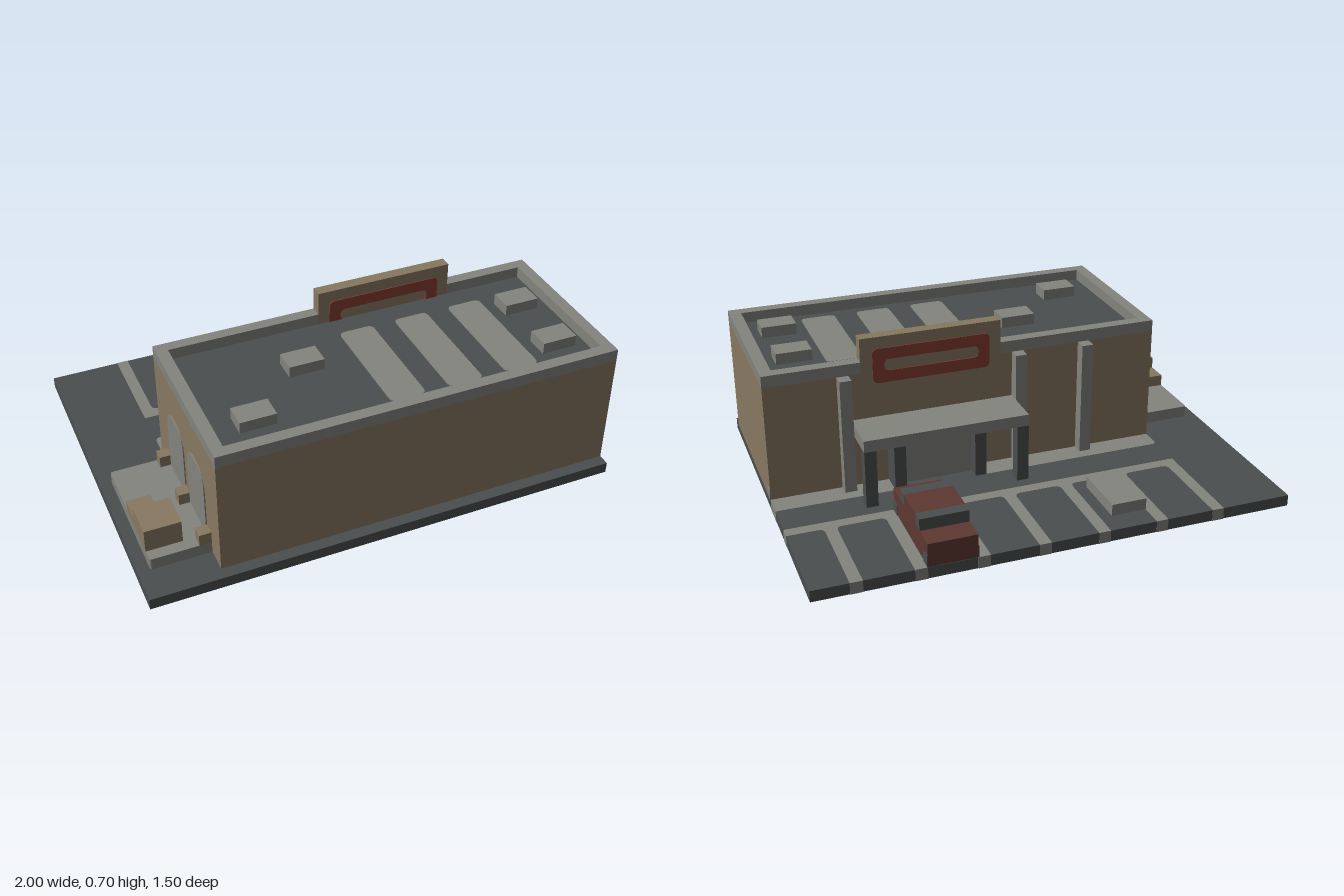
import * as THREE from 'three';

const mat = (name, color) => {
  const m = new THREE.MeshStandardMaterial({ color });
  m.name = name;
  return m;
};

// Rounded rectangle; radii listed for corners (x0,y0), (x1,y0), (x1,y1), (x0,y1)
function roundRect(path, x0, x1, y0, y1, [a, b, c, d]) {
  path.moveTo(x0 + a, y0);
  path.lineTo(x1 - b, y0);
  path.quadraticCurveTo(x1, y0, x1, y0 + b);
  path.lineTo(x1, y1 - c);
  path.quadraticCurveTo(x1, y1, x1 - c, y1);
  path.lineTo(x0 + d, y1);
  path.quadraticCurveTo(x0, y1, x0, y1 - d);
  path.lineTo(x0, y0 + a);
  path.quadraticCurveTo(x0, y0, x0 + a, y0);
  return path;
}

export function createModel() {
  const tan = mat('tan wall', 0x877860);
  const grey = mat('light concrete', 0x82847d);
  const dark = mat('dark asphalt', 0x4a4e4f);
  const signRed = mat('sign red', 0x853d33);
  const carRed = mat('car red', 0x5e3831);
  const model = new THREE.Group();
  model.name = 'store';

  const group = (name) => {
    const g = new THREE.Group();
    g.name = name;
    model.add(g);
    return g;
  };
  const add = (parent, name, geometry, material) => {
    const m = new THREE.Mesh(geometry, material);
    m.name = name;
    parent.add(m);
    return m;
  };
  const box = (parent, name, material, x0, x1, y0, y1, z0, z1) => {
    const m = add(parent, name, new THREE.BoxGeometry(x1 - x0, y1 - y0, z1 - z0), material);
    m.position.set((x0 + x1) / 2, (y0 + y1) / 2, (z0 + z1) / 2);
    return m;
  };
  const extrude = (shape, depth) =>
    new THREE.ExtrudeGeometry(shape, { depth, bevelEnabled: false, curveSegments: 5 });
  // Flat slab drawn in x and z, with its top at the given height
  const slab = (parent, name, material, shape, top, depth) => {
    const m = add(parent, name, extrude(shape, depth).rotateX(Math.PI / 2), material);
    m.position.y = top;
    return m;
  };
  // Thin plate drawn in z and y, growing towards -x from the given x
  const sidePlate = (parent, name, material, shape, x, depth) => {
    const m = add(parent, name, extrude(shape, depth).rotateY(-Math.PI / 2), material);
    m.position.x = x;
    return m;
  };

  // Ground with inlaid paving
  const ground = group('ground');
  box(ground, 'asphalt', dark, -1, 1, 0.001, 0.049, -0.75, 0.75);
  const r = 0.025;
  slab(ground, 'sidewalkRight', grey,
    roundRect(new THREE.Shape(), -0.7, 0.15, -0.15, -0.05, [r, r, r, 0]), 0.05, 0.05);
  slab(ground, 'sidewalkLeft', grey,
    roundRect(new THREE.Shape(), 0.45, 1.001, -0.15, -0.05, [r, 0, 0, r]), 0.05, 0.05);

  // Parking lines: a comb with rounded bays
  const comb = new THREE.Shape();
  comb.moveTo(-0.7, -0.3);
  comb.lineTo(-0.7, -0.751);
  for (let i = 0; i < 7; i++) {
    const x0 = -0.65 + i * 0.25, x1 = x0 + 0.2;
    comb.lineTo(x0, -0.751);
    comb.lineTo(x0, -0.35 - r);
    comb.quadraticCurveTo(x0, -0.35, x0 + r, -0.35);
    if (i < 6) {
      comb.lineTo(x1 - r, -0.35);
      comb.quadraticCurveTo(x1, -0.35, x1, -0.35 - r);
      comb.lineTo(x1, -0.751);
    }
  }
  comb.lineTo(1.001, -0.35);
  comb.lineTo(1.001, -0.3);
  slab(ground, 'parkingLines', grey, comb, 0.05, 0.05);

  // Main block, parapet and roof
  const building = group('building');
  box(building, 'walls', tan, -0.7, 1, 0.04, 0.55, -0.05, 0.7);
  box(building, 'parapetFront', grey, -0.7, 1, 0.55, 0.6, 0.65, 0.7);
  box(building, 'parapetRight', grey, -0.7, -0.65, 0.55, 0.6, 0, 0.65);
  box(building, 'parapetLeft', grey, 0.95, 1, 0.55, 0.6, 0, 0.65);
  box(building, 'parapetBackRight', grey, -0.7, 0, 0.55, 0.6, -0.05, 0);
  box(building, 'parapetBackLeft', grey, 0.6, 1, 0.55, 0.6, -0.05, 0);
  box(building, 'roofSurface', dark, -0.65, 0.95, 0.548, 0.552, 0, 0.65);
  for (const x of [0.05, 0.3, 0.55])
    slab(building, 'roofPanel', grey,
      roundRect(new THREE.Shape(), x, x + 0.15, 0.1, 0.6, [r, r, r, r]), 0.556, 0.006);
  for (const [x, z] of [[-0.25, 0.2], [-0.55, 0.45], [0.75, 0.15], [0.75, 0.45]])
    box(building, 'roofUnit', grey, x, x + 0.15, 0.55, 0.6, z, z + 0.1);
  for (const x of [-0.4, -0.1, 0.65])
    box(building, 'pilaster', grey, x, x + 0.05, 0.05, 0.55, -0.1, -0.05);

  // Sign board with a red ring on both faces
  box(building, 'signBoard', tan, 0, 0.6, 0.55, 0.7, -0.05, 0);
  const ring = roundRect(new THREE.Shape(), 0.05, 0.55, 0.5, 0.65, [r, r, r, r]);
  ring.holes.push(roundRect(new THREE.Path(), 0.1, 0.5, 0.55, 0.6, [r, r, r, r].map((v) => v * 0.8)));
  add(building, 'signRing', extrude(ring, 0.058), signRed).position.z = -0.054;

  // Entrance canopy and door
  const entrance = group('entrance');
  box(entrance, 'canopy', grey, -0.05, 0.65, 0.3, 0.35, -0.25, -0.05);
  for (const x of [-0.05, 0.6])
    box(entrance, 'canopyColumn', dark, x, x + 0.05, 0.05, 0.3, -0.25, -0.2);
  for (const x of [0.1, 0.45])
    box(entrance, 'doorPost', dark, x, x + 0.05, 0.05, 0.3, -0.15, -0.05);
  box(entrance, 'door', grey, 0.15, 0.45, 0.05, 0.3, -0.1, -0.05);

  // Patio with arched windows, posts and crates
  const patio = group('patio');
  slab(patio, 'patioFloor', grey,
    roundRect(new THREE.Shape(), -0.95, -0.7, 0.05, 0.6, [0.01, 0, 0, 0.01]), 0.1, 0.1);
  for (const z of [0.1, 0.35])
    sidePlate(patio, 'archedWindow', grey,
      roundRect(new THREE.Shape(), z, z + 0.2, 0.1, 0.4, [0, 0, 0.09, 0.09]), -0.699, 0.006);
  for (const z of [0.05, 0.3, 0.55])
    box(patio, 'patioPost', tan, -0.75, -0.7, 0.1, 0.15, z, z + 0.05);
  box(patio, 'largeCrate', tan, -0.95, -0.8, 0.1, 0.2, 0.4, 0.55);
  box(patio, 'smallCrate', tan, -0.95, -0.85, 0.1, 0.15, 0.3, 0.4);

  // Corner kerb mark on the left wall
  sidePlate(building, 'kerbMark', grey,
    roundRect(new THREE.Shape(), -0.05, 0, 0.05, 0.1, [0, 0, r, r]), 1.003, 0.005);

  // Low slab in a parking bay
  box(ground, 'parkedSlab', grey, -0.4, -0.25, 0.05, 0.1, -0.65, -0.4);

  // Parked car
  const car = group('car');
  box(car, 'carBody', carRed, 0.35, 0.55, 0.05, 0.15, -0.75, -0.3);
  box(car, 'carCabin', carRed, 0.35, 0.55, 0.15, 0.2, -0.6, -0.45);
  for (const z of [-0.65, -0.45])
    box(car, 'carWindow', dark, 0.35, 0.55, 0.15, 0.2, z, z + 0.05);
  for (const x of [0.353, 0.553])
    for (const [z, radii] of [[-0.75, [0, 0, r, 0]], [-0.35, [0, 0, 0, r]]])
      sidePlate(car, 'carWheel', dark,
        roundRect(new THREE.Shape(), z, z + 0.05, 0.05, 0.1, radii), x, 0.006);

  return model;
}
